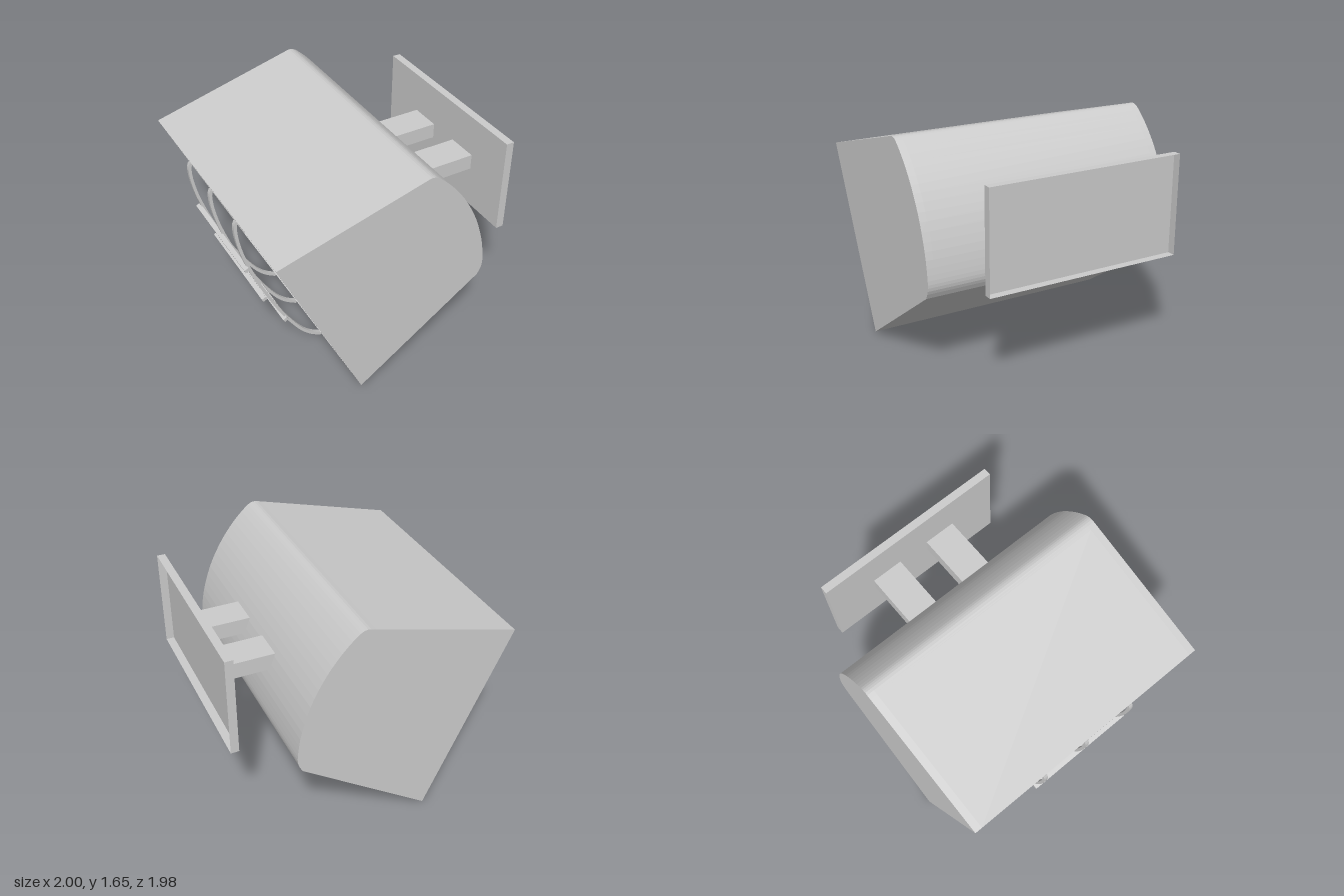
import * as THREE from 'three';

const grey = new THREE.MeshStandardMaterial({ color: 0xcccccc });
const sheet = new THREE.MeshStandardMaterial({ color: 0xcccccc, side: THREE.DoubleSide });
const v = (x, y) => new THREE.Vector2(x, y);

// Shift an open polyline sideways, to the right of its direction of travel
function offsetLine(points, distance) {
  return points.map((p, i) => {
    const a = points[Math.max(i - 1, 0)];
    const b = points[Math.min(i + 1, points.length - 1)];
    const t = b.clone().sub(a).normalize();
    return v(p.x + t.y * distance, p.y - t.x * distance);
  });
}

// Extrude an outline in the xy plane between two z positions
function slab(outline, z0, z1, name) {
  const geometry = new THREE.ExtrudeGeometry(new THREE.Shape(outline), {
    depth: z1 - z0, bevelEnabled: false,
  });
  geometry.translate(0, 0, z0);
  const mesh = new THREE.Mesh(geometry, grey);
  mesh.name = name;
  return mesh;
}

function box(w, h, d, x, y, z, name) {
  const mesh = new THREE.Mesh(new THREE.BoxGeometry(w, h, d), grey);
  mesh.position.set(x, y, z);
  mesh.name = name;
  return mesh;
}

// Hollow housing, open on its slanted -x side, with a curved back
function createHousing() {
  const housing = new THREE.Group();
  housing.name = 'housing';
  const wall = 0.055, half = 0.99;
  const back = new THREE.SplineCurve([
    v(0.08, 1.648), v(0.14, 1.66), v(0.2, 1.632), v(0.31, 1.525), v(0.42, 1.38),
    v(0.52, 1.195), v(0.59, 0.99), v(0.62, 0.82), v(0.62, 0.73), v(0.59, 0.66),
  ]).getPoints(30);
  const top = v(-0.985, 1.355), bottom = v(-0.36, 0.01);
  const outer = [top, ...back, bottom];
  const inner = offsetLine(outer, wall);

  // Keep the rim in the plane of the opening
  const rim = bottom.clone().sub(top).normalize().multiplyScalar(wall);
  inner[0] = top.clone().add(rim);
  inner[inner.length - 1] = bottom.clone().sub(rim);

  housing.add(slab([...outer, ...inner.reverse()], -half + wall, half - wall, 'shell'));
  housing.add(slab(outer, half - wall, half, 'frontSidePanel'));
  housing.add(slab(outer, -half, -half + wall, 'rearSidePanel'));
  return housing;
}

// Bowed guard grille across the opening
function createGuard() {
  const guard = new THREE.Group();
  guard.name = 'guard';
  const bow = new THREE.SplineCurve([
    v(-0.975, 1.33), v(-0.988, 1.28), v(-0.978, 1.16), v(-0.935, 0.98), v(-0.84, 0.72),
    v(-0.69, 0.4), v(-0.555, 0.18), v(-0.46, 0.075), v(-0.365, 0.015),
  ]).getPoints(32);
  const outline = [...offsetLine(bow, 0.011), ...offsetLine(bow, -0.011).reverse()];
  for (const z of [-0.388, -0.02, 0.383]) {
    guard.add(slab(outline, z - 0.015, z + 0.015, 'guardBar'));
  }
  for (const [x, y, angle] of [[-0.937, 0.913, 0.36], [-0.822, 0.596, 0.42], [-0.664, 0.324, 0.52]]) {
    const bar = box(0.035, 0.027, 0.84, x, y, 0, 'guardCrossbar');
    bar.rotation.z = angle;
    guard.add(bar);
  }
  return guard;
}

// Two arms and a shallow sheet tray that is open towards +x
function createMount() {
  const mount = new THREE.Group();
  mount.name = 'mount';
  for (const z of [-0.25, 0.243]) {
    mount.add(box(0.42, 0.12, 0.245, 0.73, 1.137, z, 'mountArm'));
  }
  const tray = new THREE.BoxGeometry(0.06, 0.74, 1.48);
  tray.setIndex(Array.from(tray.index.array).slice(6)); // drop the +x face
  tray.clearGroups();
  const plate = new THREE.Mesh(tray, sheet);
  plate.position.set(0.97, 1.135, -0.004);
  plate.name = 'mountingPlate';
  mount.add(plate);
  return mount;
}

export function createModel() {
  const model = new THREE.Group();
  model.name = 'floodlight';
  model.add(createHousing(), createGuard(), createMount());
  return model;
}
